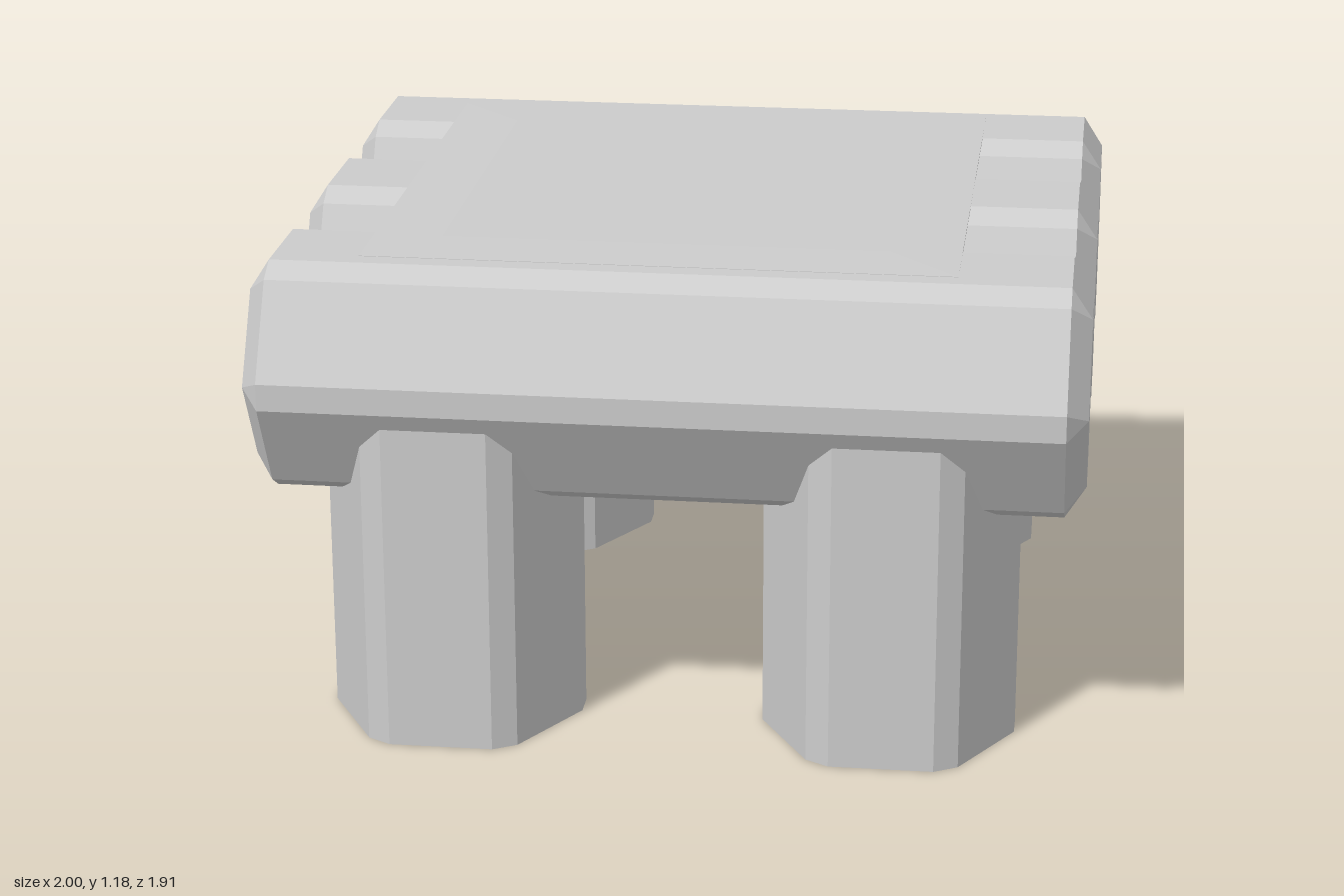
import * as THREE from 'three';
import { ConvexGeometry } from 'three/addons/geometries/ConvexGeometry.js';

const RADIUS = 0.329;   // hexagon corner radius before its corners are cut
const CUT = 0.038;      // length cut from each side at a corner

// Corners of a regular hexagon with two points on the first axis
function hexagon(radius) {
  return Array.from({ length: 6 }, (_, i) =>
    new THREE.Vector2(Math.cos(i * Math.PI / 3), Math.sin(i * Math.PI / 3)).multiplyScalar(radius));
}

// The same hexagon with every corner trimmed, giving twelve points
function trimmedHexagon() {
  const c = hexagon(RADIUS);
  return c.flatMap((p, i) => [c[(i + 5) % 6], c[(i + 1) % 6]].map(q => p.clone().lerp(q, CUT / RADIUS)));
}

// Horizontal log along x with chamfered ends narrowing to a sharp hexagon
function logGeometry() {
  const points = [];
  for (const s of [-1, 1]) {
    for (const p of trimmedHexagon()) points.push(new THREE.Vector3(s * 0.95, p.y, p.x));
    for (const p of hexagon(0.24)) points.push(new THREE.Vector3(s, p.y, p.x));
  }
  return new ConvexGeometry(points);
}

// Upright post with square-cut ends
function legGeometry(height) {
  const points = trimmedHexagon().flatMap(p =>
    [new THREE.Vector3(p.x, 0, p.y), new THREE.Vector3(p.x, height, p.y)]);
  return new ConvexGeometry(points);
}

// Thin sheet with a barely raised middle
function sheetGeometry() {
  const points = [];
  for (const [x, y, z] of [[0.7135, -0.004, 0.72], [0.7135, 0.001, 0.72], [0.545, 0.003, 0.545]])
    for (const sx of [-1, 1]) for (const sz of [-1, 1])
      points.push(new THREE.Vector3(sx * x, y, sz * z));
  return new ConvexGeometry(points);
}

export function createModel() {
  const model = new THREE.Group();
  model.name = 'logTable';
  const grey = new THREE.MeshStandardMaterial({ color: 0xcccccc });
  grey.name = 'light grey';

  const add = (name, geometry, x, y, z) => {
    const mesh = new THREE.Mesh(geometry, grey);
    mesh.name = name;
    mesh.position.set(x, y, z);
    model.add(mesh);
  };

  // Three logs side by side
  const log = logGeometry();
  add('frontLog', log, 0, 0.89, 0.645);
  add('middleLog', log, 0, 0.89, 0);
  add('backLog', log, 0, 0.89, -0.645);

  // Four legs sunk into the outer logs
  const leg = legGeometry(0.85);
  for (const [side, x] of [['Left', 0.535], ['Right', -0.535]]) {
    add('front' + side + 'Leg', leg, x, 0, 0.645);
    add('back' + side + 'Leg', leg, x, 0, -0.645);
  }

  // Sheet bridging the grooves between the logs
  add('topSheet', sheetGeometry(), -0.03, 1.175, 0);
  return model;
}
